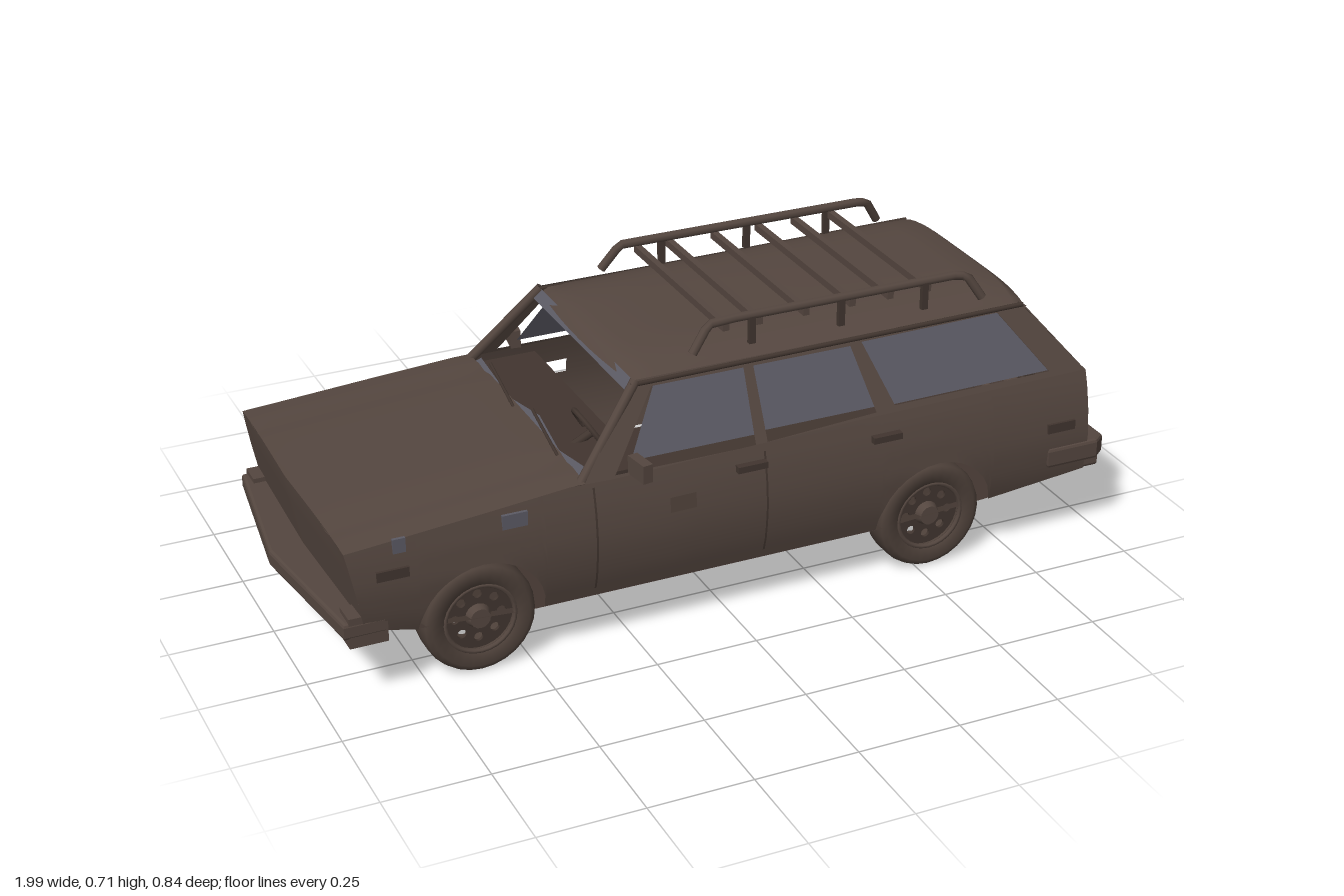
import * as THREE from 'three';

const mat = (name, color) => Object.assign(new THREE.MeshStandardMaterial({ color, side: THREE.DoubleSide }), { name });

// piecewise linear lookup through [x, value] pairs
const table = (pts, x) => {
  for (let i = 1; i < pts.length; i++) {
    if (x <= pts[i][0] || i === pts.length - 1) {
      const [a, b] = [pts[i - 1], pts[i]];
      return a[1] + (b[1] - a[1]) * THREE.MathUtils.clamp((x - a[0]) / (b[0] - a[0]), 0, 1);
    }
  }
};

// grid of points p(i, j), optionally skipping cells
function grid(nu, nv, p, skip = () => false) {
  const pos = [], idx = [];
  for (let i = 0; i <= nu; i++) for (let j = 0; j <= nv; j++) pos.push(...p(i, j));
  for (let i = 0; i < nu; i++) for (let j = 0; j < nv; j++) {
    if (skip(i, j)) continue;
    const a = i * (nv + 1) + j, b = a + nv + 1;
    idx.push(a, b, a + 1, b, b + 1, a + 1);
  }
  const g = new THREE.BufferGeometry();
  g.setAttribute('position', new THREE.Float32BufferAttribute(pos, 3));
  g.setIndex(idx);
  g.computeVertexNormals();
  return g;
}

const shapeOf = (pts) => new THREE.Shape(pts.map(([x, y]) => new THREE.Vector2(x, y)));

// flat outline with holes, moved into place by a rule
function panel(outline, holes, place) {
  const s = shapeOf(outline);
  holes.forEach((h) => s.holes.push(shapeOf(h)));
  const g = new THREE.ShapeGeometry(s), a = g.attributes.position;
  for (let i = 0; i < a.count; i++) a.setXYZ(i, ...place(a.getX(i), a.getY(i)));
  g.computeVertexNormals();
  return g;
}

// body proportions
const WHEELS = [-0.62, 0.53], ARCH = 0.152;
const halfWidth = (y) => table([[0.13, 0.365], [0.2, 0.385], [0.28, 0.392], [0.35, 0.385], [0.41, 0.372], [0.45, 0.358]], y);
const beltY = (x) => table([[-0.94, 0.385], [-0.38, 0.428], [-0.3, 0.424], [0.3, 0.438], [0.965, 0.445]], x);
const floorY = (x) => table([[-0.93, 0.2], [-0.77, 0.155], [-0.5, 0.137], [0.4, 0.137], [0.68, 0.155], [0.965, 0.19]], x);
const noseX = (y) => -0.9 - 0.035 * (y - 0.2) / 0.185;
const tailX = (v) => 0.967 - 0.025 * Math.abs(v) ** 6;
const pillarZ = (y) => 0.362 - 0.077 * (y - 0.43) / 0.18;
const gateX = (y) => 0.945 - 0.86 * (y - 0.44);

export function createModel() {
  const car = new THREE.Group();
  car.name = 'stationWagon';
  const paint = mat('brownPaint', 0x54463f), trim = mat('darkTrim', 0x41352f);
  const rubber = mat('tyreBrown', 0x4d4039), glass = mat('greyGlass', 0x5b5a64);

  const add = (parent, name, geo, m, x = 0, y = 0, z = 0) => {
    const mesh = new THREE.Mesh(geo, m);
    mesh.name = name;
    mesh.position.set(x, y, z);
    parent.add(mesh);
    return mesh;
  };
  const box = (p, name, m, w, h, d, x, y, z) => add(p, name, new THREE.BoxGeometry(w, h, d), m, x, y, z);
  const tube = (p, name, m, pts, r) => {
    const path = new THREE.CurvePath();
    const v = pts.map((q) => new THREE.Vector3(...q));
    for (let i = 1; i < v.length; i++) path.add(new THREE.LineCurve3(v[i - 1], v[i]));
    return add(p, name, new THREE.TubeGeometry(path, (v.length - 1) * 8, r, 8), m);
  };

  // lower side stations, dense around the wheel arches
  const xs = [-0.93, -0.88, -0.82, -0.4, -0.3, -0.165, -0.1, 0, 0.12, 0.25, 0.33, 0.75, 0.84, 0.91, 0.942];
  WHEELS.forEach((c) => { for (let k = 0; k <= 16; k++) xs.push(c + ARCH * Math.cos(k * Math.PI / 16)); });
  xs.sort((a, b) => a - b);
  const sillY = (x) => WHEELS.reduce((y, c) => {
    const d = ARCH ** 2 - (x - c) ** 2;
    return d > 0 ? Math.max(y, 0.142 + Math.sqrt(d)) : y;
  }, floorY(x));

  const wA = [[-0.29, 0.43], [-0.17, 0.596], [0.06, 0.596], [0.06, 0.43]];
  const wB = [[0.09, 0.432], [0.085, 0.596], [0.335, 0.596], [0.375, 0.445]];
  const wC = [[0.425, 0.452], [0.365, 0.6], [0.73, 0.604], [0.845, 0.455]];

  for (const s of [1, -1]) {
    const side = new THREE.Group();
    side.name = s > 0 ? 'nearSide' : 'farSide';
    side.scale.z = s;
    car.add(side);

    add(side, 'lowerSide', grid(xs.length - 1, 8, (i, j) => {
      const y = THREE.MathUtils.lerp(sillY(xs[i]), beltY(xs[i]), j / 8);
      return [i === 0 ? noseX(y) : xs[i], y, halfWidth(y)];
    }, (i, j) => xs[i] === -0.165 && j === 5), paint);

    // window frame and panes
    const place = (x, y) => [x, y, pillarZ(y)];
    add(side, 'windowFrame', panel([[-0.37, 0.42], [-0.21, 0.615], [0.8, 0.615], [0.945, 0.44], [0.3, 0.432]], [wA, wB, wC], place), paint);
    const paneAt = (x, y) => [x, y, pillarZ(y) - 0.006];
    add(side, 'frontDoorGlass', panel([[-0.245, 0.45], [-0.16, 0.6], [0.07, 0.6], [0.07, 0.45]], [], paneAt), glass);
    add(side, 'rearDoorGlass', panel([[0.08, 0.455], [0.08, 0.6], [0.34, 0.6], [0.375, 0.455]], [], paneAt), glass);
    add(side, 'quarterGlass', panel(wC, [], paneAt), glass);
    tube(side, 'windscreenPillar', paint, [[-0.37, 0.42, 0.35], [-0.205, 0.612, 0.28]], 0.012);
    tube(side, 'roofGutter', trim, [[-0.22, 0.606, 0.286], [0.8, 0.612, 0.285]], 0.006);

    // door seams, handles and side markers
    for (const x of [-0.35, 0.075]) {
      add(side, 'doorSeam', grid(1, 8, (i, j) => {
        const y = 0.16 + j * 0.032;
        return [x + i * 0.005, y, halfWidth(y) + 0.002];
      }), trim);
    }
    for (const x of [0.04, 0.39]) box(side, 'doorHandle', trim, 0.075, 0.016, 0.02, x, 0.39, 0.382);
    for (const x of [-0.83, 0.865]) box(side, 'sideMarker', trim, 0.075, 0.024, 0.009, x, 0.32, 0.389);
    const mirror = box(side, 'sideMirror', paint, 0.025, 0.045, 0.066, -0.24, 0.448, 0.387);
    mirror.rotation.y = 0.15;

    // roof rail with posts
    tube(side, 'roofRail', paint, [[-0.055, 0.64, 0.262], [-0.01, 0.7, 0.25], [0.06, 0.702, 0.246], [0.64, 0.702, 0.246], [0.665, 0.695, 0.25], [0.7, 0.64, 0.262]], 0.011);
    for (const x of [0.1, 0.33, 0.55]) box(side, 'railPost', trim, 0.016, 0.07, 0.012, x, 0.668, 0.25);

    // front bumper corner
    box(side, 'bumperCorner', paint, 0.09, 0.075, 0.06, -0.89, 0.19, 0.355);

    // wheels: tyre, pierced rim, barrel and hub
    WHEELS.forEach((x, n) => {
      const wheel = new THREE.Group();
      wheel.name = n ? 'rearWheel' : 'frontWheel';
      wheel.position.set(x, 0.137, 0.318);
      side.add(wheel);
      const prof = [[0.085, -0.044], [0.118, -0.047], [0.131, -0.04], [0.136, -0.025], [0.136, 0.025], [0.131, 0.04], [0.118, 0.047], [0.09, 0.044], [0.084, 0.03], [0.082, -0.04], [0.085, -0.044]];
      const tyre = new THREE.LatheGeometry(prof.map((q) => new THREE.Vector2(...q)), 28).rotateX(Math.PI / 2);
      add(wheel, 'tyre', tyre, rubber);
      const disc = new THREE.Shape().absarc(0, 0, 0.084, 0, Math.PI * 2);
      for (let k = 0; k < 8; k++) {
        const a = k * Math.PI / 4;
        disc.holes.push(new THREE.Path().absarc(0.056 * Math.cos(a), 0.056 * Math.sin(a), 0.011, 0, Math.PI * 2));
      }
      add(wheel, 'rim', new THREE.ExtrudeGeometry(disc, { depth: 0.008, bevelEnabled: false, curveSegments: 14 }), trim, 0, 0, 0.015);
      add(wheel, 'rimLip', new THREE.TorusGeometry(0.084, 0.006, 6, 28), paint, 0, 0, 0.038);
      add(wheel, 'hub', new THREE.CylinderGeometry(0.024, 0.032, 0.022, 16).rotateX(Math.PI / 2), paint, 0, 0, 0.03);
    });
  }

  // bonnet, nose, tailgate, roof and floor sheets
  add(car, 'bonnet', grid(14, 20, (i, j) => {
    const t = i / 14, v = j / 10 - 1, a = Math.abs(v);
    const x = THREE.MathUtils.lerp(-0.935 - 0.012 * (1 - a), -0.365, t), y = beltY(x);
    const raise = 0.012 * (1 - a ** 4) - (a > 0.65 && a < 0.75 ? 0.006 : 0);
    return [x, y + raise, v * halfWidth(y)];
  }), paint);
  add(car, 'nose', grid(20, 6, (i, j) => {
    const v = i / 10 - 1, a = Math.abs(v), y = THREE.MathUtils.lerp(0.195, 0.385 + 0.012 * (1 - a ** 4), j / 6);
    return [noseX(Math.min(y, 0.385)) - 0.012 * (1 - a), y, v * halfWidth(y)];
  }), paint);
  add(car, 'tailgate', grid(24, 8, (i, j) => {
    const v = i / 12 - 1, y = 0.185 + 0.26 * j / 8;
    return [tailX(v) - 0.02 * (j / 8) ** 4 * (1 - Math.abs(v) ** 6), y, v * halfWidth(y)];
  }), paint);
  const roofTop = [[-0.225, 0.6], [-0.205, 0.618], [-0.16, 0.636], [0, 0.646], [0.4, 0.652], [0.7, 0.654], [0.78, 0.65], [0.805, 0.632], [0.812, 0.605]];
  add(car, 'roof', grid(roofTop.length - 1, 20, (i, j) => {
    const v = j / 10 - 1, [x, y] = roofTop[i];
    return [x + (i < 3 ? 0.02 * v * v : 0), y - Math.max(0, y - 0.608) * Math.abs(v) ** 5, v * 0.288];
  }), paint);
  const fx = [-0.905, -0.77, -0.5, 0.4, 0.68, 0.96];
  add(car, 'floor', grid(5, 1, (i, j) => [fx[i], floorY(fx[i]) - 0.004, (j * 2 - 1) * 0.362]), trim);

  // rear window
  const gate = (z, y) => [gateX(y), y, z];
  add(car, 'rearWindowFrame', panel([[-0.36, 0.438], [0.36, 0.438], [0.285, 0.615], [-0.285, 0.615]],
    [[[-0.288, 0.455], [-0.262, 0.602], [0.262, 0.602], [0.288, 0.455]]], gate), paint);
  add(car, 'rearGlass', panel([[-0.29, 0.452], [0.29, 0.452], [0.262, 0.57], [0, 0.577], [-0.262, 0.57]], [], (z, y) => [gateX(y) - 0.006, y, z]), glass);

  // windscreen remnants along the top and bottom edges
  const screen = (z, y) => [-0.37 + 0.86 * (y - 0.42), y, z];
  add(car, 'windscreenTop', panel([[-0.285, 0.588], [0.285, 0.588], [0.275, 0.61], [-0.275, 0.61]], [], screen), glass);
  add(car, 'windscreenBottom', panel([[-0.33, 0.42], [0.33, 0.42], [0.32, 0.445], [0.2, 0.432], [0.05, 0.448], [-0.1, 0.43], [-0.31, 0.44]], [], screen), glass);

  // dashboard, steering wheel and wipers
  box(car, 'dashboard', trim, 0.16, 0.05, 0.66, -0.285, 0.395, 0);
  const steer = add(car, 'steeringWheel', new THREE.TorusGeometry(0.065, 0.007, 6, 24), trim, -0.26, 0.435, 0.155);
  steer.rotation.set(0, Math.PI / 2, 0);
  steer.rotateX(-0.55);
  tube(car, 'steeringColumn', trim, [[-0.33, 0.4, 0.155], [-0.26, 0.435, 0.155]], 0.01);
  for (const z of [-0.02, 0.25]) tube(car, 'wiper', trim, [[-0.385, 0.45, z], [-0.355, 0.455, z - 0.22]], 0.004);

  // roof rack cross bars
  for (const x of [0.035, 0.12, 0.24, 0.36, 0.46, 0.56]) box(car, 'rackBar', paint, 0.016, 0.018, 0.5, x, 0.684, 0);

  // bumpers, swept from plan outlines
  const bumper = (name, pts, y, depth) => {
    const g = new THREE.ExtrudeGeometry(shapeOf(pts), { depth, bevelSize: 0.008, bevelThickness: 0.008, bevelSegments: 2 });
    add(car, name, g.rotateX(-Math.PI / 2), paint, 0, y, 0);
  };
  const mirrored = (half) => [...half, ...half.map(([x, z]) => [x, -z]).reverse()];
  const rearPlan = mirrored([[0.84, 0.375], [0.84, 0.388], [0.965, 0.388], [0.988, 0.37]]);
  const rearInner = [[0.95, -0.34], [0.945, -0.372], [0.945, 0.372], [0.95, 0.34]];
  bumper('rearBumperTop', [...rearPlan, ...rearInner.slice(1, 3)], 0.222, 0.036);
  bumper('rearBumperLower', mirrored([[0.93, 0.37], [0.975, 0.37]]), 0.192, 0.02);
  bumper('frontBumper', [[-0.86, 0.378], [-0.94, 0.378], [-0.99, 0], [-0.94, -0.378], [-0.86, -0.378], [-0.89, 0]], 0.183, 0.025);

  // tailgate plate, lamps and panel
  box(car, 'numberPlate', trim, 0.008, 0.07, 0.205, 0.969, 0.32, 0);
  box(car, 'tailPanel', trim, 0.006, 0.005, 0.1, 0.963, 0.403, -0.23);
  for (const z of [-0.24, 0.24]) box(car, 'tailSeam', trim, 0.006, 0.005, 0.1, 0.968, 0.36, z);
  box(car, 'tailCrease', trim, 0.006, 0.006, 0.7, 0.966, 0.275, 0);

  // worn grey patches on the near wing
  for (const x of [-0.54, -0.81]) box(car, 'wingPatch', glass, x < -0.7 ? 0.03 : 0.06, 0.035, 0.008, x, 0.382, 0.379);
  return car;
}
